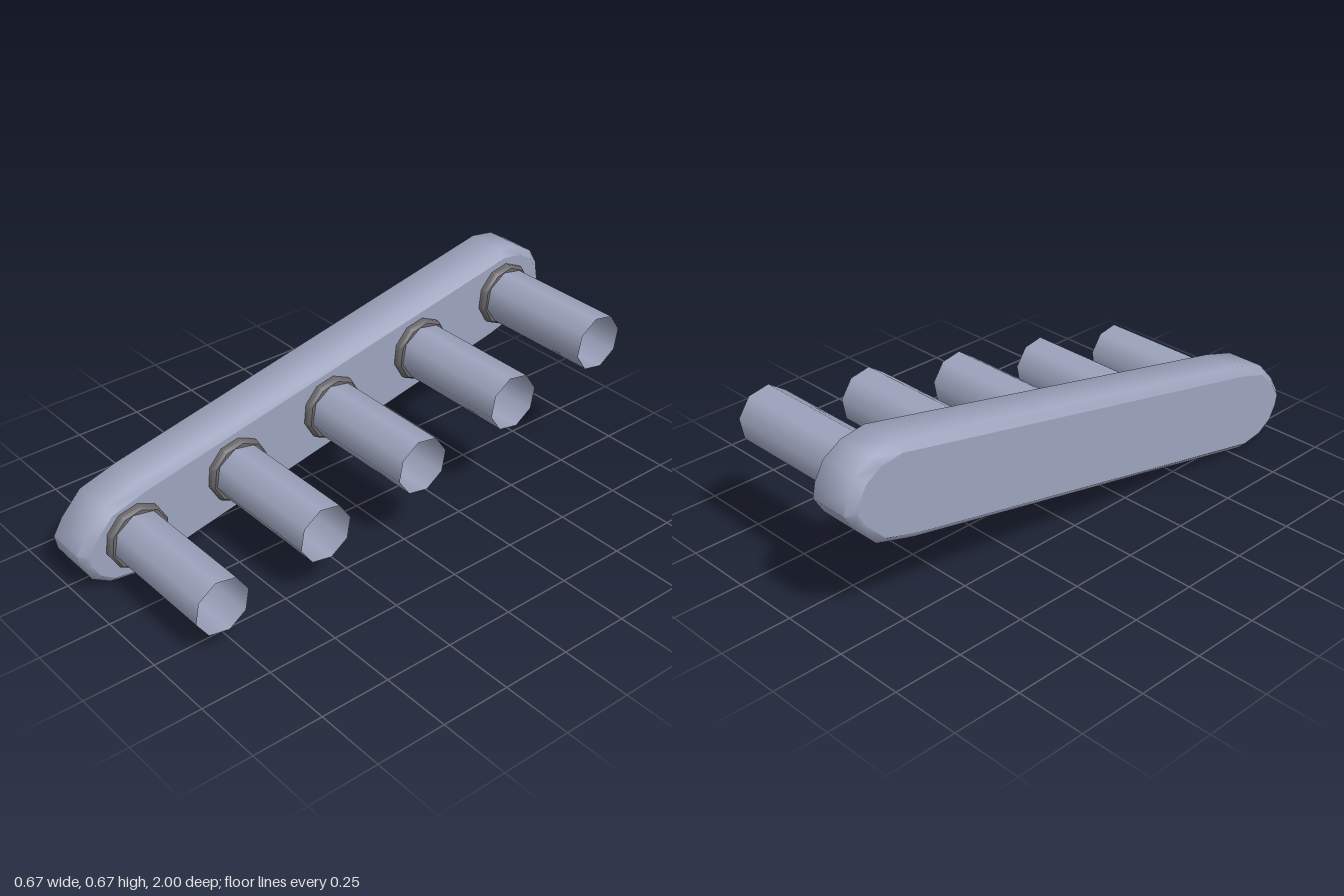
import * as THREE from 'three';
import { toCreasedNormals } from 'three/addons/utils/BufferGeometryUtils.js';

const TILT = 0.206;    // slope of the plate, lower towards the front
const FACE = -0.14;    // x of the plate's mounting face
const MID_Y = 0.335;

export function createModel() {
  const plateBlue = new THREE.MeshStandardMaterial({ name: 'greyBlue', color: 0x9da4bd });
  const tubeBlue = plateBlue;
  tubeBlue.side = THREE.DoubleSide; // the tubes are open
  const darkGrey = new THREE.MeshStandardMaterial({ name: 'darkGrey', color: 0x6a676a });

  const model = new THREE.Group();
  model.name = 'pegRack';
  const add = (name, geometry, material, y = 0, z = 0) => {
    const mesh = new THREE.Mesh(geometry, material);
    mesh.name = name;
    mesh.position.set(0, y, z);
    model.add(mesh);
  };

  // Sloping plate: one rounded end (z, y), repeated by a half turn
  const end = [[0.755, 0.343], [0.89, 0.303], [0.964, 0.225], [1, 0.166],
    [0.99, 0.115], [0.955, 0.054], [0.89, 0.014], [0.8, 0]];
  const outline = [...end, ...end.map(([z, y]) => [-z, 2 * MID_Y - y])];
  const shape = new THREE.Shape(outline.map(([z, y]) => new THREE.Vector2(-z, y)));
  const bevel = 0.027;
  const extruded = new THREE.ExtrudeGeometry(shape, {
    depth: 0.193 - 2 * bevel, bevelThickness: bevel, bevelSize: bevel,
    bevelOffset: -bevel, bevelSegments: 1,
  });
  const plate = toCreasedNormals(extruded, 0.95);
  // Keep the two large faces flat while the rim stays soft
  const caps = extruded.groups[0];
  const middle = (0.193 - 2 * bevel) / 2;
  for (let i = caps.start; i < caps.start + caps.count; i++) {
    const side = plate.attributes.position.getZ(i) > middle ? 1 : -1;
    plate.attributes.normal.setXYZ(i, 0, 0, side);
  }
  plate.clearGroups();
  plate.rotateY(Math.PI / 2);
  plate.translate(FACE - 0.193 + bevel, 0, 0);
  add('plate', plate, plateBlue);

  // Collar with a small centre hole, and open eight-sided tube, both along x
  const alongX = (geometry) => geometry.rotateZ(-Math.PI / 2).rotateX(TILT);
  const profile = [[0.115, FACE - 0.005], [0.115, -0.123], [0.107, -0.112],
    [0.024, -0.112], [0.024, FACE - 0.005]].map(([r, x]) => new THREE.Vector2(r, x));
  const collar = alongX(toCreasedNormals(new THREE.LatheGeometry(profile, 10), 0.7));
  const length = 0.333 - FACE;
  const tube = alongX(new THREE.CylinderGeometry(0.1, 0.1, length, 8, 1, true));
  tube.translate(FACE + length / 2, 0, 0);

  for (let i = -2; i <= 2; i++) {
    const z = i * 0.398;
    const y = MID_Y + 0.003 - z * 0.209;
    add('collar', collar, darkGrey, y, z);
    add('tube', tube, tubeBlue, y, z);
  }
  return model;
}
